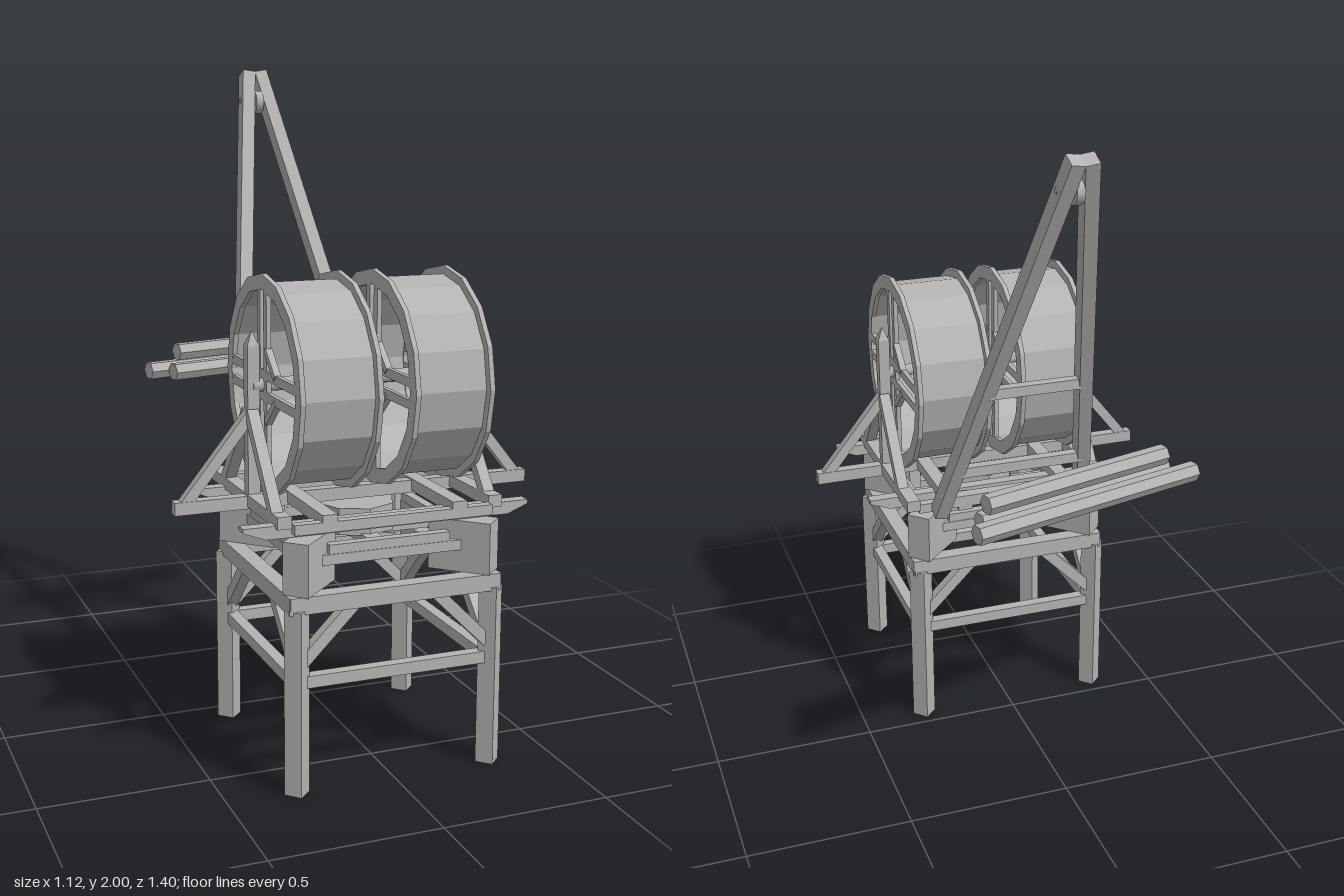
import * as THREE from 'three';

const timber = new THREE.MeshStandardMaterial({ color: 0xb3b3b3 });
timber.name = 'greyTimber';
const CZ = 0.365; // centre of the tower in z
const V = (x, y, z) => new THREE.Vector3(x, y, z);

function add(parent, name, geometry) {
  const mesh = new THREE.Mesh(geometry, timber);
  mesh.name = name;
  parent.add(mesh);
  return mesh;
}

function box(parent, name, w, h, d, x, y, z) {
  const m = add(parent, name, new THREE.BoxGeometry(w, h, d));
  m.position.set(x, y, z);
  return m;
}

// Square timber from a to b: w across, h along the hint direction
function beam(parent, name, a, b, w, h, hint = V(0, 1, 0)) {
  const dir = b.clone().sub(a);
  const m = add(parent, name, new THREE.BoxGeometry(w, h, dir.length()));
  dir.normalize();
  const side = new THREE.Vector3().crossVectors(hint, dir).normalize();
  const up = new THREE.Vector3().crossVectors(dir, side);
  m.quaternion.setFromRotationMatrix(new THREE.Matrix4().makeBasis(side, up, dir));
  m.position.copy(a).add(b).multiplyScalar(0.5);
  return m;
}

// Sixteen-sided ring with its axis along x, from x0 to x1
function ring(outer, inner, x0, x1) {
  const pts = (r) => Array.from({ length: 16 }, (_, i) =>
    new THREE.Vector2(r * Math.cos(i * Math.PI / 8), r * Math.sin(i * Math.PI / 8)));
  const shape = new THREE.Shape(pts(outer));
  shape.holes.push(new THREE.Path(pts(inner)));
  const g = new THREE.ExtrudeGeometry(shape, { depth: x1 - x0, bevelEnabled: false });
  return g.rotateY(Math.PI / 2).translate(x0, 0, 0);
}

// One side of the tower, built facing +z around the tower axis
function towerSide() {
  const g = new THREE.Group();
  g.name = 'towerSide';
  box(g, 'topRail', 0.64, 0.05, 0.05, 0, 0.555, 0.298);
  box(g, 'lowerRail', 0.56, 0.035, 0.035, 0, 0.328, 0.295);
  for (const s of [-1, 1]) {
    beam(g, 'kneeBrace', V(s * 0.29, 0.375, 0.295), V(s * 0.125, 0.54, 0.295), 0.035, 0.035, V(0, 0, 1));
  }
  box(g, 'turntableRail', 0.54, 0.03, 0.035, 0, 0.66, 0.25);
  box(g, 'turntableUpperRail', 0.37, 0.028, 0.03, 0, 0.688, 0.25);
  // Corner leg set diagonally, with a deep corner block above
  const leg = box(g, 'leg', 0.053, 0.54, 0.053, 0.302, 0.27, 0.296);
  leg.rotation.y = Math.PI / 4;
  const block = box(g, 'cornerBlock', 0.077, 0.152, 0.185, 0.242, 0.655, 0.236);
  block.rotation.y = Math.PI / 4;
  return g;
}

// Tread wheel centred on the axle, spanning x0 to x1
function treadWheel(x0, x1) {
  const g = new THREE.Group();
  g.name = 'treadWheel';
  add(g, 'drum', ring(0.293, 0.278, x0 + 0.014, x1 - 0.014));
  for (const x of [x0, x1 - 0.015]) {
    add(g, 'rim', ring(0.318, 0.274, x, x + 0.015));
    const c = x + 0.0075;
    for (const s of [-1, 1]) {
      box(g, 'uprightSpoke', 0.014, 0.56, 0.027, c, 0, s * 0.027);
      box(g, 'levelSpoke', 0.014, 0.027, 0.56, c, s * 0.031, 0);
      for (const t of [-1, 1]) {
        beam(g, 'spokeClasp', V(c, s * 0.105, t * 0.03), V(c, s * 0.035, t * 0.11), 0.02, 0.02, V(1, 0, 0));
      }
    }
  }
  return g;
}

export function createModel() {
  const model = new THREE.Group();
  model.name = 'treadwheelCrane';

  // Tower
  const tower = new THREE.Group();
  tower.name = 'tower';
  tower.position.z = CZ - 0.002;
  for (let i = 0; i < 4; i++) {
    const side = towerSide();
    side.rotation.y = i * Math.PI / 2;
    tower.add(side);
  }
  box(tower, 'turntableCrossbeam', 0.5, 0.03, 0.05, 0, 0.66, 0);
  box(tower, 'turntableCrossbeam', 0.05, 0.03, 0.5, 0, 0.66, 0);
  const pivot = add(tower, 'pivot', new THREE.CylinderGeometry(0.12, 0.12, 0.08, 8).toNonIndexed());
  pivot.geometry.computeVertexNormals();
  pivot.position.y = 0.71;
  model.add(tower);

  // Turning platform: cross timbers with chamfered ends, then bearers
  const platform = new THREE.Group();
  platform.name = 'platform';
  const profile = new THREE.Shape([[-0.435, 0.772], [-0.435, 0.76], [-0.37, 0.735], [0.37, 0.735], [0.435, 0.76], [0.435, 0.772]]
    .map(([x, y]) => new THREE.Vector2(x, y)));
  for (const z of [0.155, 0.605]) {
    const g = new THREE.ExtrudeGeometry(profile, { depth: 0.038, bevelEnabled: false });
    add(platform, 'crossTimber', g.translate(0, 0, z - 0.019));
  }
  box(platform, 'outrigger', 1.115, 0.038, 0.036, 0, 0.776, CZ);
  for (const s of [-1, 1]) {
    box(platform, 'outerBearer', 0.042, 0.036, 0.61, s * 0.321, 0.782, 0.335);
    box(platform, 'innerBearer', 0.045, 0.036, 0.67, s * 0.197, 0.782, 0.33);
  }
  box(platform, 'frontTie', 0.6, 0.03, 0.03, 0, 0.765, 0.65);
  box(platform, 'backTie', 0.6, 0.03, 0.03, 0, 0.765, 0.055);
  model.add(platform);

  // Wheel supports: pointed post with a brace on three sides
  for (const s of [-1, 1]) {
    const support = new THREE.Group();
    support.name = 'wheelSupport';
    box(support, 'post', 0.036, 0.45, 0.036, s * 0.32, 1.005, CZ);
    const tip = new THREE.ConeGeometry(0.0255, 0.042, 4).rotateY(Math.PI / 4).toNonIndexed();
    tip.computeVertexNormals();
    add(support, 'postTip', tip).position.set(s * 0.32, 1.251, CZ);
    beam(support, 'outerBrace', V(s * 0.525, 0.785, CZ), V(s * 0.325, 1.035, CZ), 0.032, 0.032, V(0, 0, 1));
    for (const t of [-1, 1]) {
      beam(support, 'sideBrace', V(s * 0.325, 0.79, CZ + t * 0.215), V(s * 0.325, 1.04, CZ + t * 0.012), 0.032, 0.034, V(1, 0, 0));
    }
    model.add(support);
  }

  // Tread wheels on a shared axle
  const wheels = new THREE.Group();
  wheels.name = 'treadWheels';
  wheels.position.set(0, 1.115, CZ + 0.002);
  wheels.add(treadWheel(0.048, 0.29), treadWheel(-0.29, -0.048));
  add(wheels, 'axle', new THREE.CylinderGeometry(0.02, 0.02, 0.64, 8).rotateZ(Math.PI / 2));
  model.add(wheels);

  // Leaning jib with cross ties and a pulley at its head
  const jib = new THREE.Group();
  jib.name = 'jib';
  for (const s of [-1, 1]) {
    beam(jib, 'jibLeg', V(s * 0.24, 0.752, 0.023), V(s * 0.02, 1.988, -0.547), 0.042, 0.053, V(0, 0.4, 1));
  }
  box(jib, 'jibTie', 0.3, 0.032, 0.034, 0, 1.23, -0.205);
  box(jib, 'jibTie', 0.4, 0.032, 0.034, 0, 0.925, -0.065);
  box(jib, 'jibFootTie', 0.42, 0.036, 0.04, 0, 0.8, 0);
  for (const s of [-1, 1]) box(jib, 'footBlock', 0.045, 0.04, 0.06, s * 0.165, 0.79, 0.01);
  const pulley = add(jib, 'pulley', new THREE.CylinderGeometry(0.038, 0.038, 0.024, 10).rotateZ(Math.PI / 2));
  pulley.position.set(0, 1.895, -0.505);
  const pin = add(jib, 'pulleyPin', new THREE.CylinderGeometry(0.01, 0.01, 0.12, 6).rotateZ(Math.PI / 2));
  pin.position.set(0, 1.9, -0.505);
  model.add(jib);

  // Bundle of three six-sided logs hanging behind
  const load = new THREE.Group();
  load.name = 'logBundle';
  for (const [x, y, z, length] of [[-0.03, 1.016, -0.573, 0.76], [-0.01, 1.016, -0.513, 0.655], [-0.005, 1.077, -0.54, 0.62]]) {
    const g = new THREE.CylinderGeometry(0.03, 0.03, length, 6).rotateZ(Math.PI / 2).toNonIndexed();
    g.computeVertexNormals();
    const log = add(load, 'log', g);
    log.position.set(x, y, z);
    log.rotation.y = 0.256;
  }
  model.add(load);

  return model;
}
